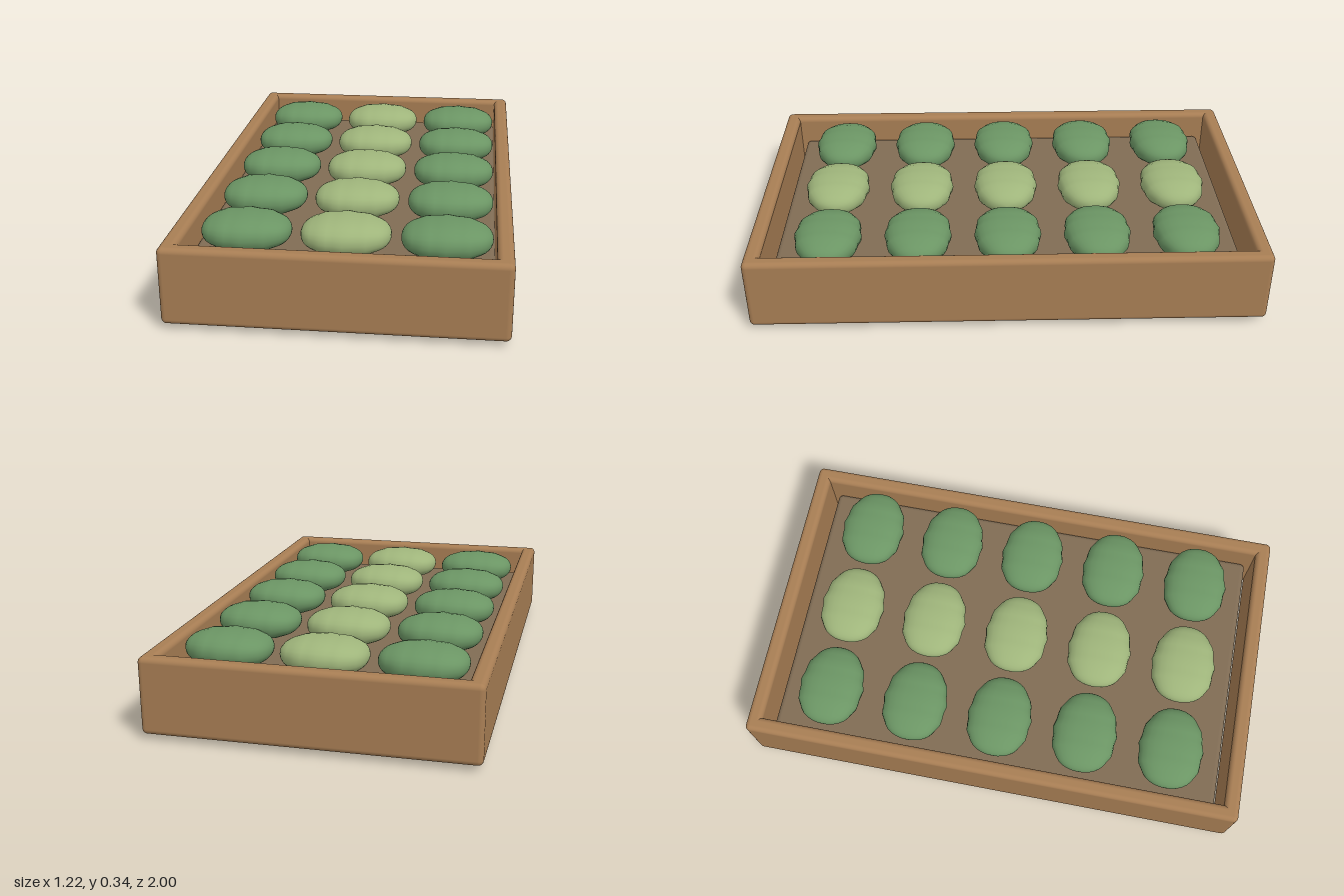
import * as THREE from 'three';
import { RoundedBoxGeometry } from 'three/addons/geometries/RoundedBoxGeometry.js';

const wood = new THREE.MeshStandardMaterial({ color: 0xa87e54 });
const bedding = new THREE.MeshStandardMaterial({ color: 0x806c54 });
const darkGreen = new THREE.MeshStandardMaterial({ color: 0x6b9564 });
const lightGreen = new THREE.MeshStandardMaterial({ color: 0x9fb57b });

// Rounded box placed by its centre
function box(name, material, [w, h, d], [x, y, z], radius) {
  const mesh = new THREE.Mesh(new RoundedBoxGeometry(w, h, d, 4, radius), material);
  mesh.name = name;
  mesh.position.set(x, y, z);
  return mesh;
}

// Flattened, softly boxy dumpling with fine pleats running across its long axis
function pleatedDumpling() {
  const geometry = new THREE.SphereGeometry(1, 24, 20);
  geometry.rotateZ(-Math.PI / 2);
  const p = geometry.attributes.position;
  const soften = (v) => Math.sign(v) * Math.abs(v) ** 0.88;
  for (let i = 0; i < p.count; i++) {
    const x = p.getX(i), y = p.getY(i), z = p.getZ(i);
    const pleat = 1 + 0.03 * Math.cos(x * 15) * (1 - x * x);
    p.setXYZ(i,
      0.01 + 0.165 * soften(x),
      0.066 * soften(y) * pleat,
      0.128 * soften(z) * pleat * (1 - 0.06 * x));
  }
  geometry.computeVertexNormals();
  // Average the normals across the seam of the sphere
  const n = geometry.attributes.normal;
  for (let row = 0; row <= 20; row++) {
    const a = row * 25, b = a + 24;
    const v = new THREE.Vector3().fromBufferAttribute(n, a)
      .add(new THREE.Vector3().fromBufferAttribute(n, b)).normalize();
    n.setXYZ(a, v.x, v.y, v.z);
    n.setXYZ(b, v.x, v.y, v.z);
  }
  return geometry;
}

export function createModel() {
  const model = new THREE.Group();
  model.name = 'trayOfDumplings';

  // Tray floor, slightly short of the end walls
  model.add(box('trayFloor', bedding, [1.1, 0.2, 1.83], [0, 0.1, 0], 0.02));

  // Side and end walls
  for (const s of [-1, 1]) {
    const side = s > 0 ? 'left' : 'right';
    const end = s > 0 ? 'front' : 'back';
    model.add(box(side + 'Wall', wood, [0.06, 0.29, 2], [s * 0.58, 0.165, 0], 0.02));
    model.add(box(end + 'Wall', wood, [1.22, 0.29, 0.06], [0, 0.165, s * 0.97], 0.02));
  }

  // Three columns by five rows, the middle column lighter
  const geometry = pleatedDumpling();
  for (let col = -1; col <= 1; col++) {
    for (let row = -2; row <= 2; row++) {
      const piece = new THREE.Mesh(geometry, col === 0 ? lightGreen : darkGreen);
      piece.name = 'dumpling';
      piece.position.set(col * 0.365, 0.272, row * 0.352);
      model.add(piece);
    }
  }
  return model;
}
